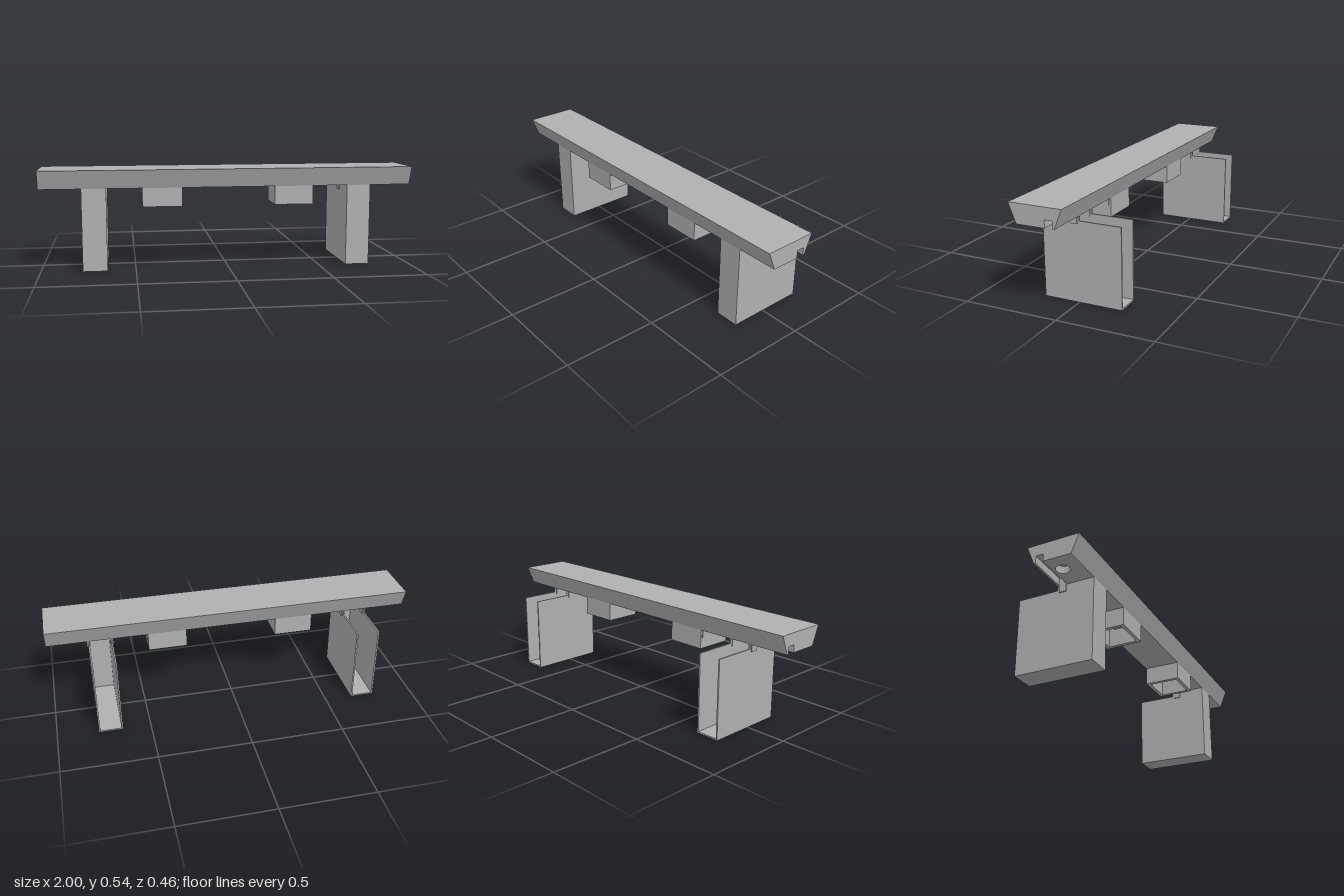
import * as THREE from 'three';

const grey = new THREE.MeshStandardMaterial({ color: 0xb0b0b0 });
grey.name = 'plain grey';

const polygon = (points) => new THREE.Shape(points.map(([a, b]) => new THREE.Vector2(a, b)));
const rectangle = (a0, b0, a1, b1) => polygon([[a0, b0], [a1, b0], [a1, b1], [a0, b1]]);

function addMesh(parent, name, geometry) {
  const mesh = new THREE.Mesh(geometry, grey);
  mesh.name = name;
  parent.add(mesh);
}

// Side profile given as (z, y), run along x between two positions
function alongX(points, xa, xb) {
  const geometry = new THREE.ExtrudeGeometry(polygon(points), { depth: Math.abs(xb - xa), bevelEnabled: false });
  return geometry.rotateY(-Math.PI / 2).translate(Math.max(xa, xb), 0, 0);
}

// Plan outline given as (x, z), run upwards from y0 to y1
function upward(shape, y0, y1) {
  const geometry = new THREE.ExtrudeGeometry(shape, { depth: y1 - y0, bevelEnabled: false, curveSegments: 24 });
  return geometry.rotateX(Math.PI / 2).translate(0, y1, 0);
}

function box(x0, x1, y0, y1, z0, z1) {
  return new THREE.BoxGeometry(Math.abs(x1 - x0), y1 - y0, z1 - z0)
    .translate((x0 + x1) / 2, (y0 + y1) / 2, (z0 + z1) / 2);
}

export function createModel() {
  const model = new THREE.Group();
  model.name = 'shelf';

  const grooveStart = 0.27, wall = 0.008;

  // Upper beam, flaring towards the top, and the solid middle of its underside
  addMesh(model, 'beamTop', alongX([[-0.026, 0.48], [0.206, 0.48], [0.23, 0.54], [-0.05, 0.54]], -1, 1));
  addMesh(model, 'beamMiddle',
    alongX([[-0.01, 0.44], [0.19, 0.44], [0.206, 0.48], [-0.026, 0.48]], -grooveStart, grooveStart));

  for (const s of [-1, 1]) {
    const side = new THREE.Group();
    side.name = s > 0 ? 'leftSide' : 'rightSide';
    model.add(side);

    // Underside of the beam: drilled slab, front wedge and rear lip, with a groove between
    const slab = rectangle(Math.min(s * grooveStart, s), 0.04, Math.max(s * grooveStart, s), 0.19);
    slab.holes.push(new THREE.Path().absarc(s * 0.9, 0.09, 0.036, 0, Math.PI * 2, true));
    addMesh(side, 'drilledUnderside', upward(slab, 0.44, 0.48));
    addMesh(side, 'beamFrontWedge', alongX([[0.19, 0.44], [0.206, 0.48], [0.19, 0.48]], s * grooveStart, s));
    addMesh(side, 'grooveLip',
      alongX([[-0.01, 0.44], [0, 0.44], [0, 0.48], [-0.026, 0.48]], s * grooveStart, s));

    // Leg: a thin channel, open at the back and at the rear of the top
    const leg = new THREE.Group();
    leg.name = 'leg';
    side.add(leg);
    const wallProfile = [[-0.23, 0], [0.19, 0], [0.19, 0.44], [-0.01, 0.44], [-0.01, 0.415], [-0.23, 0.415]];
    addMesh(leg, 'legInnerWall', alongX(wallProfile, s * 0.65, s * (0.65 + wall)));
    addMesh(leg, 'legOuterWall', alongX(wallProfile, s * (0.78 - wall), s * 0.78));
    addMesh(leg, 'legFront', box(s * (0.65 + wall), s * (0.78 - wall), 0, 0.44, 0.19 - wall, 0.19));
    addMesh(leg, 'legFloor', box(s * (0.65 + wall), s * (0.78 - wall), 0, wall, -0.23, 0.19 - wall));

    // Hanging box: a rectangular frame open underneath
    const frame = rectangle(Math.min(s * 0.25, s * 0.46), -0.01, Math.max(s * 0.25, s * 0.46), 0.19);
    const [a, b] = [Math.min(s * 0.27, s * 0.44), Math.max(s * 0.27, s * 0.44)];
    frame.holes.push(rectangle(a, 0.01, b, 0.17));
    addMesh(side, 'hangingBox', upward(frame, 0.34, 0.44));

    // Tabs that sit in the groove
    for (const x of [0.455, 0.653, 0.777]) {
      addMesh(side, 'grooveTab', box(s * (x - 0.009), s * (x + 0.009), 0.4, 0.48, 0, 0.04));
    }
  }
  return model;
}
